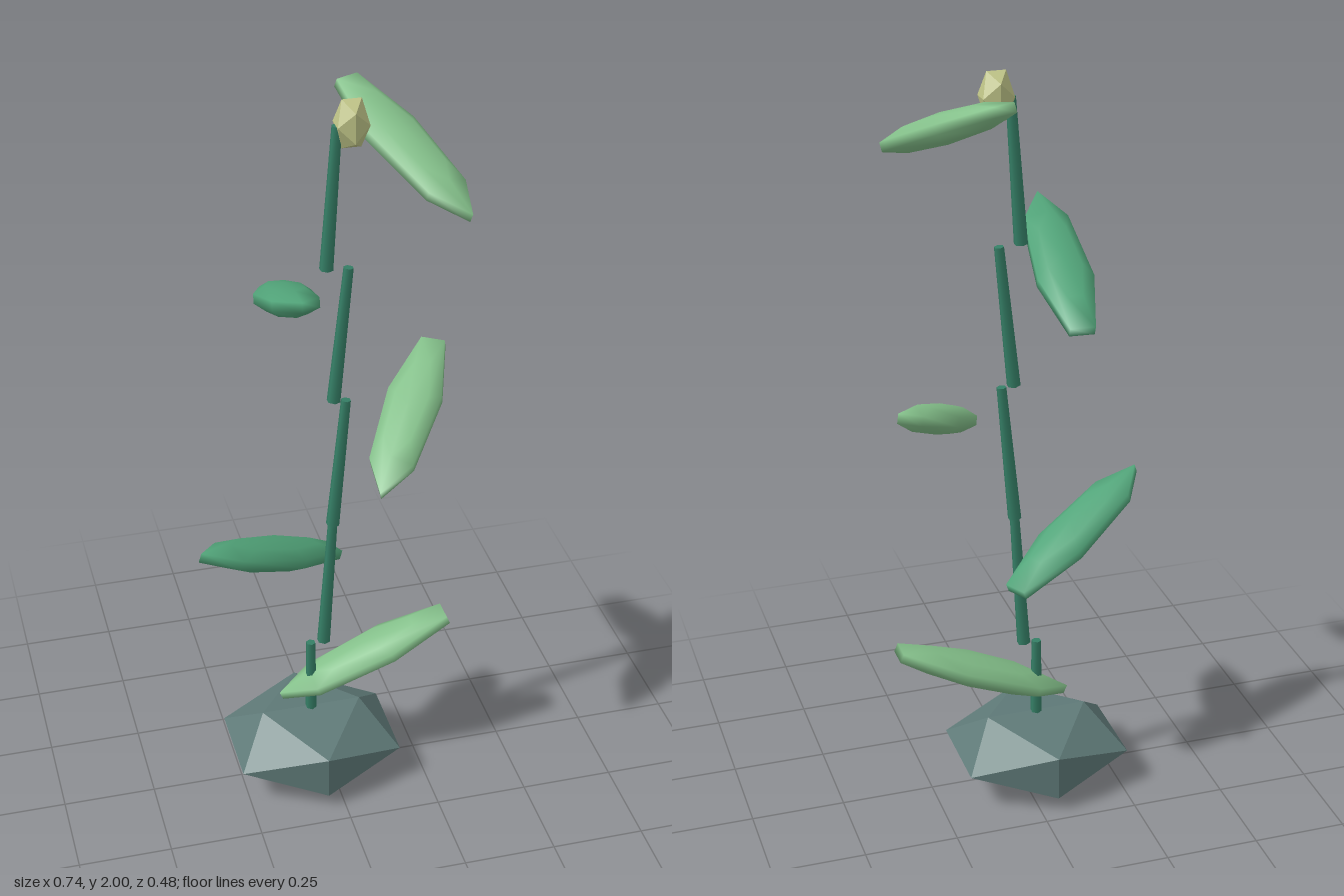
import * as THREE from 'three';

const Z = -0.01; // depth of the stem axis
const STEP = 0.379; // height of one stem segment

const paint = (color, flatShading = false) =>
  new THREE.MeshStandardMaterial({ color, flatShading });

export function createModel() {
  const group = new THREE.Group();
  const add = (name, geometry, material, x, y) => {
    const mesh = new THREE.Mesh(geometry, material);
    mesh.name = name;
    mesh.position.set(x, y, Z);
    group.add(mesh);
    return mesh;
  };

  // Faceted rock base and the bud at the tip
  const facet = new THREE.IcosahedronGeometry(1, 0);
  add('rockBase', facet, paint(0x5f7a78, true), -0.046, 0.1).scale.set(0.262, 0.1175, 0.236);
  add('bud', facet, paint(0xc0c588, true), 0.06, 1.9375).scale.set(0.047, 0.0735, 0.047);

  // Tapered stem segments: [bottom x, top x]
  const stemMaterial = paint(0x357f66);
  const stemGeometry = new THREE.CylinderGeometry(0.013, 0.018, STEP, 6);
  [[-0.046, -0.046], [-0.01, 0.015], [0.015, 0.05], [0.017, 0.055], [-0.002, 0.024]]
    .forEach(([x0, x1], i) => {
      const stem = add('stemSegment' + (i + 1), stemGeometry, stemMaterial,
        (x0 + x1) / 2, 0.04 + STEP * (i + 0.5));
      stem.rotation.z = -Math.atan2(x1 - x0, STEP);
    });

  // Flattened leaves, alternating sides and turning as they climb
  const leafGeometry = new THREE.SphereGeometry(1, 7, 5);
  leafGeometry.scale(0.28, 0.04, 0.078);
  const leafMaterials = [paint(0x84c08a), paint(0x52a57a)];
  [0.115, -0.15, 0.219, -0.105, 0.191].forEach((x, i) => {
    const leaf = add('leaf' + (i + 1), leafGeometry, leafMaterials[i % 2], x, 0.353 + STEP * i);
    leaf.rotation.set(0, 0.5 * i, i % 2 ? -0.4 : 0.4);
  });

  return group;
}
